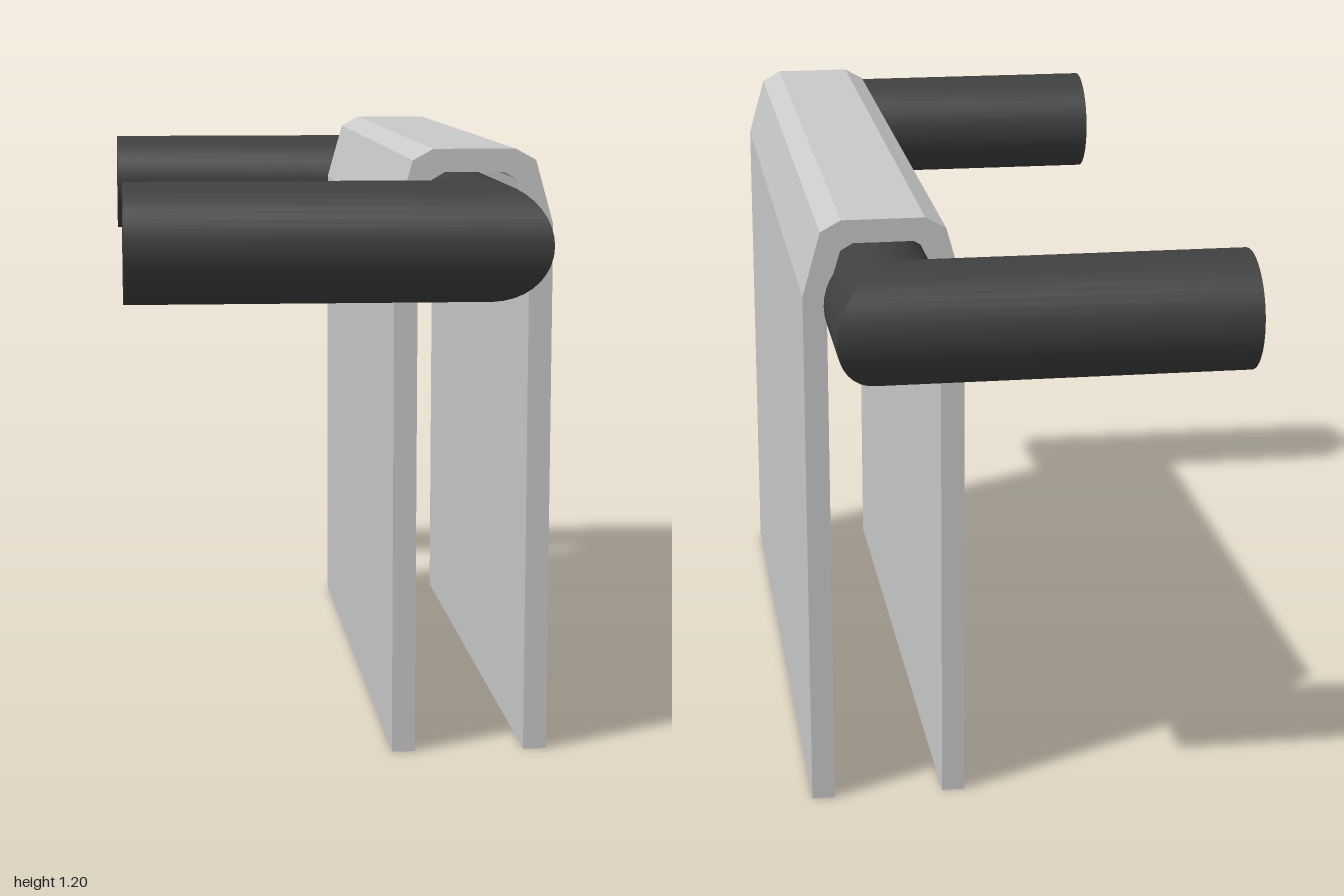
import * as THREE from 'three';

const BAR_X = 0.26, BAR_Y = 1.03, R = 0.115; // rail centre line and radius
const ARM_Z = 0.875, RZ = 0.125;             // arm centre line and half width
const ARM_END = -0.42;

// open tube whose vertices are placed by a rule: (a, b) on the unit circle, far end or not
function tube(place) {
  const g = new THREE.CylinderGeometry(1, 1, 1, 40, 1, true);
  const p = g.attributes.position;
  for (let i = 0; i < p.count; i++) {
    p.setXYZ(i, ...place(p.getX(i), p.getZ(i), p.getY(i) > 0));
  }
  g.computeVertexNormals();
  return g;
}

export function createModel() {
  const dark = new THREE.MeshStandardMaterial({ color: 0x404040 });
  dark.name = 'darkMetal';
  const cloth = new THREE.MeshStandardMaterial({ color: 0xcacaca });
  cloth.name = 'lightGreyCloth';

  const model = new THREE.Group();
  model.name = 'towelRail';
  const add = (name, geometry, material) => {
    const mesh = new THREE.Mesh(geometry, material);
    mesh.name = name;
    model.add(mesh);
    return mesh;
  };

  // long bar, mitred at both ends
  add('crossBar', tube((a, b, far) => [
    BAR_X + R * b, BAR_Y + R * a, (far ? 1 : -1) * (ARM_Z + RZ * b),
  ]), dark);

  // two arms reaching back, each with a flat end cap
  for (const side of [1, -1]) {
    const label = side > 0 ? 'front' : 'back';
    add(label + 'Arm', tube((a, b, far) => [
      far ? BAR_X + R * a * side : ARM_END, BAR_Y + R * b, side * ARM_Z + RZ * a,
    ]), dark);
    const cap = new THREE.CircleGeometry(1, 40);
    cap.scale(RZ, R, 1);
    cap.rotateY(-Math.PI / 2);
    add(label + 'ArmCap', cap, dark).position.set(ARM_END, BAR_Y, side * ARM_Z);
  }

  // towel folded over the bar: faceted outer and inner outline
  const mid = BAR_X;
  const outer = [[0.155, 0], [0.155, 1.05], [0.12, 1.175], [0.08, 1.197]];
  const inner = [[0.058, 1.152], [0.082, 1.138], [0.109, 1.05], [0.109, 0]];
  const right = ([x, y]) => new THREE.Vector2(mid + x, y);
  const left = ([x, y]) => new THREE.Vector2(mid - x, y);
  const outline = [
    ...outer.map(right),
    ...[...outer].reverse().map(left),
    ...[...inner].reverse().map(left),
    ...inner.map(right),
  ];
  const towel = new THREE.ExtrudeGeometry(new THREE.Shape(outline), {
    depth: 1.496, bevelEnabled: false,
  });
  towel.translate(0, 0, -0.748);
  add('towel', towel, cloth);

  return model;
}
